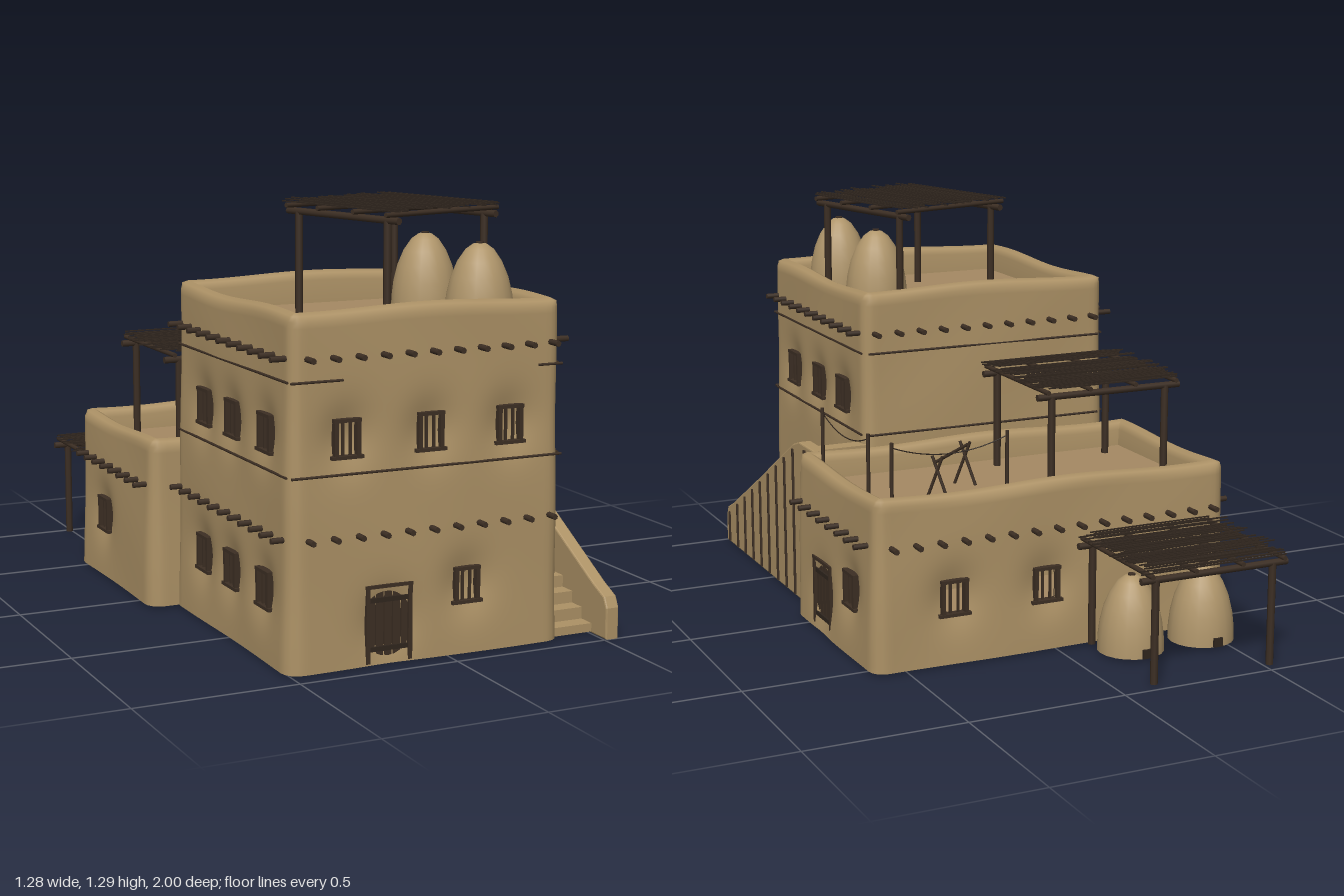
import * as THREE from 'three';

const mat = (name, color) => Object.assign(new THREE.MeshStandardMaterial({ color }), { name });
const adobe = mat('adobe', 0xad9266);
const earth = mat('roofEarth', 0xa68a64);
earth.side = THREE.DoubleSide;
const clay = mat('ovenClay', 0xb0966b);
const wood = mat('darkWood', 0x3d2f24);
const twig = mat('twig', 0x30261e);

// Each wall's outward direction; position is measured along the other axis
const SIDES = { front: [0, 1, 0], right: [1, 0, Math.PI / 2], back: [0, -1, Math.PI], left: [-1, 0, -Math.PI / 2] };

function add(parent, name, geo, material, x = 0, y = 0, z = 0) {
  const m = new THREE.Mesh(geo, material);
  m.name = name;
  m.position.set(x, y, z);
  parent.add(m);
  return m;
}
const box = (p, name, w, h, d, m, x, y, z) => add(p, name, new THREE.BoxGeometry(w, h, d), m, x, y, z);

// Round pole between two points
function rod(parent, name, a, b, r, material = wood) {
  const A = new THREE.Vector3(...a), B = new THREE.Vector3(...b), d = B.clone().sub(A);
  const m = add(parent, name, new THREE.CylinderGeometry(r, r, d.length(), 7), material);
  m.position.copy(A).add(B).multiplyScalar(0.5);
  m.quaternion.setFromUnitVectors(new THREE.Vector3(0, 1, 0), d.normalize());
}

let seed = 7;
const rand = () => (seed = (seed * 16807) % 2147483647) / 2147483647;
const clamp = (v, m) => Math.max(-m, Math.min(m, v));

// Point on a block's wall: u along the wall (world x or z), out = distance from the wall
function onWall(b, side, u, y, out) {
  const [nx, nz] = SIDES[side];
  return nx ? [b.cx + nx * (b.hx + out), y, u] : [u, y, b.cz + nz * (b.hz + out)];
}
const taper = (b, y) => 0.014 * (1 - y / b.top);

// Hand-plastered block: rounded plan, wavy parapet, hollows round the openings
function shell(parent, b) {
  const plan = [], r = 0.035;
  const corners = [[1, 1], [-1, 1], [-1, -1], [1, -1]];
  corners.forEach(([sx, sz], k) => {
    const ox = sx * (b.hx - r), oz = sz * (b.hz - r);
    for (let i = 0; i <= 4; i++) {
      const t = (k + i / 4) * Math.PI / 2, nx = Math.cos(t), nz = Math.sin(t);
      plan.push([ox + nx * r, oz + nz * r, nx, nz]);
    }
    const [ex, ez] = corners[(k + 1) % 4], t = (k + 1) * Math.PI / 2;
    const nx = Math.round(Math.cos(t)), nz = Math.round(Math.sin(t));
    const [x0, z0] = plan[plan.length - 1];
    const x1 = ex * (b.hx - r) + nx * r, z1 = ez * (b.hz - r) + nz * r;
    const n = Math.round(Math.hypot(x1 - x0, z1 - z0) / 0.018);
    for (let i = 1; i < n; i++) plan.push([x0 + (x1 - x0) * i / n, z0 + (z1 - z0) * i / n, nx, nz]);
  });
  const rows = [], n = Math.round((b.top - 0.03) / 0.018);
  for (let i = 0; i <= n; i++) rows.push([0, 0.01 + (b.top - 0.035) * i / n]);
  rows.push([0.008, b.top - 0.008], [0.025, b.top], [0.042, b.top - 0.008], [0.052, b.top - 0.028], [0.055, b.floor - 0.01]);

  const holes = b.openings.map(o => ({ o, c: onWall(b, o[0], o[1], o[2], 0), n: SIDES[o[0]] }));
  const pos = [], idx = [], C = plan.length;
  for (const [inset, y] of rows) for (const [px, pz, nx, nz] of plan) {
    const x = b.cx + clamp(px, b.hx - inset), z = b.cz + clamp(pz, b.hz - inset);
    let out = taper(b, y) + 0.003 * Math.sin(9 * x + 7 * y) * Math.sin(8 * z + 5 * y);
    for (const { c, n: s } of holes) if (nx * s[0] + nz * s[1] > 0.9) {
      const du = Math.hypot(x - c[0], z - c[2]), dy = y - c[1];
      out -= 0.026 * Math.exp(-(du * du) / 0.006 - (dy * dy) / 0.008);
    }
    if (inset) out = 0;
    const wave = (0.006 * Math.sin(8 * x + 2) + 0.006 * Math.sin(9 * z + 1)) * (y / b.top) ** 3;
    pos.push(x + nx * out, y + wave, z + nz * out);
  }
  const open = (x, y, z) => holes.some(({ o, c }) => o[5] === 'hole' &&
    Math.hypot(x - c[0], z - c[2]) < o[3] / 2 && Math.abs(y - c[1]) < o[4] / 2);
  for (let i = 0; i < rows.length - 1; i++) for (let j = 0; j < C; j++) {
    const a = i * C + j, q = i * C + (j + 1) % C, mid = k => (pos[3 * a + k] + pos[3 * (q + C) + k]) / 2;
    if (!open(mid(0), mid(1), mid(2))) idx.push(a, a + C, q, q, a + C, q + C);
  }
  const geo = new THREE.BufferGeometry();
  geo.setAttribute('position', new THREE.Float32BufferAttribute(pos, 3));
  geo.setIndex(idx);
  geo.computeVertexNormals();
  add(parent, 'plasterWalls', geo, adobe);
  const slab = new THREE.PlaneGeometry(2 * b.hx - 0.1, 2 * b.hz - 0.1).rotateX(-Math.PI / 2);
  add(parent, 'roofFloor', slab, earth, b.cx, b.floor, b.cz);
  const under = new THREE.PlaneGeometry(2 * b.hx, 2 * b.hz).rotateX(-Math.PI / 2);
  add(parent, 'underside', under, earth, b.cx, 0.02, b.cz);

  // Window frames and plank doors
  for (const [side, u, y, w, h, kind] of b.openings) {
    const g = new THREE.Group();
    g.name = kind === 'door' ? 'plankDoor' : 'windowFrame';
    g.position.set(...onWall(b, side, u, y, taper(b, y) - 0.012));
    g.rotation.y = SIDES[side][2];
    parent.add(g);
    for (const s of [-1, 1]) box(g, 'jamb', 0.012, h, 0.024, wood, s * w / 2, 0, 0);
    box(g, 'lintel', w + 0.015, 0.01, 0.026, wood, 0, h / 2, 0);
    if (kind === 'door') {
      for (let i = 0; i < 5; i++) box(g, 'plank', w / 5 - 0.004, h, 0.012, wood, (i - 2) * w / 5, 0, -0.004);
      box(g, 'doorBacking', w, h, 0.006, twig, 0, 0, -0.009);
      for (const s of [-1, 1]) box(g, 'doorBrace', w, 0.014, 0.008, twig, 0, s * h * 0.32, 0.004);
    } else {
      box(g, 'sill', w + 0.03, 0.01, 0.028, wood, 0, -h / 2, 0);
      for (const s of [-0.17, 0.17]) box(g, 'bar', 0.007, h, 0.008, wood, s * w, 0, 0);
    }
  }
}

// Row of projecting roof beams
function beams(parent, b, side, y, from, to, count) {
  for (let i = 0; i < count; i++) {
    const u = from + (to - from) * i / (count - 1);
    rod(parent, 'roofBeam', onWall(b, side, u, y, -0.02), onWall(b, side, u, y, 0.046), 0.009);
  }
}

// Brush shelter: posts, two beams, four cross poles and a layer of sticks
function shelter(parent, x, z, base, top, turn) {
  const g = new THREE.Group();
  g.name = 'brushShelter';
  g.position.set(x, 0, z);
  g.rotation.y = turn;
  parent.add(g);
  for (const s of [-1, 1]) {
    for (const t of [-1, 1]) rod(g, 'post', [t * 0.2, base, s * 0.195], [t * 0.2, top - 0.04, s * 0.195], 0.012);
    rod(g, 'beam', [-0.25, top - 0.04, s * 0.195], [0.25, top - 0.04, s * 0.195], 0.011);
  }
  for (const t of [-0.225, -0.08, 0.08, 0.225]) rod(g, 'crossPole', [t, top - 0.022, -0.225], [t, top - 0.022, 0.225], 0.008);
  for (let i = 0; i < 60; i++) {
    const m = box(g, 'stick', 0.4 + rand() * 0.11, 0.004, 0.004, twig,
      (rand() - 0.5) * 0.05, top - 0.012 + rand() * 0.01, -0.22 + 0.44 * i / 59);
    m.rotation.y = (rand() - 0.5) * 0.03;
  }
}

// Beehive oven with a small mouth and a vent
function oven(parent, x, y, z) {
  const profile = [[0.104, 0], [0.103, 0.04], [0.097, 0.09], [0.085, 0.14], [0.066, 0.185], [0.042, 0.22], [0.02, 0.236], [0, 0.24]];
  add(parent, 'oven', new THREE.LatheGeometry(profile.map(p => new THREE.Vector2(...p)), 20), clay, x, y, z);
  box(parent, 'ovenMouth', 0.03, 0.028, 0.012, twig, x, y + 0.016, z - 0.104);
  add(parent, 'ovenVent', new THREE.CylinderGeometry(0.012, 0.012, 0.005, 8), wood, x, y + 0.24, z);
}

export function createModel() {
  const root = new THREE.Group();
  root.name = 'adobeHouse';
  const group = name => { const g = new THREE.Group(); g.name = name; root.add(g); return g; };

  // Two-storey tower
  const tower = { cx: -0.067, cz: 0.515, hx: 0.432, hz: 0.422, top: 1.04, floor: 0.95, openings: [
    ['front', -0.195, 0.128, 0.135, 0.225, 'door'], ['front', 0.06, 0.213, 0.07, 0.1, 'window']] };
  for (const x of [-0.325, -0.06, 0.2]) tower.openings.push(['front', x, 0.675, 0.07, 0.105, 'window']);
  for (const z of [0.755, 0.515, 0.3]) {
    for (const s of ['left', 'right']) tower.openings.push([s, z, 0.675, 0.075, 0.105, 'hole']);
    tower.openings.push(['left', z, 0.22, 0.075, 0.105, 'hole']);
  }
  const t = group('tower');
  shell(t, tower);
  for (const s of ['front', 'back']) beams(t, tower, s, 0.908, -0.45, 0.33, 11);
  for (const s of ['left', 'right']) beams(t, tower, s, 0.908, 0.13, 0.9, 11);
  beams(t, tower, 'front', 0.395, -0.45, 0.33, 11);
  beams(t, tower, 'left', 0.395, 0.13, 0.9, 11);

  // Thin timber courses let into the plaster
  for (const y of [0.575, 0.843]) {
    const course = (s, a, b) => rod(t, 'timberCourse', onWall(tower, s, a, y, taper(tower, y)), onWall(tower, s, b, y, taper(tower, y)), 0.004);
    for (const s of ['left', 'right']) course(s, 0.11, 0.92);
    course('back', -0.48, 0.35);
    if (y < 0.6) course('front', -0.5, 0.37);
    else { course('front', -0.5, -0.34); course('front', 0.29, 0.37); }
  }

  // Single-storey rear block
  const low = { cx: 0, cz: -0.225, hx: 0.595, hz: 0.325, top: 0.54, floor: 0.46, openings: [
    ['right', -0.12, 0.128, 0.135, 0.225, 'door'], ['right', -0.345, 0.215, 0.075, 0.105, 'hole'],
    ['left', -0.345, 0.215, 0.075, 0.105, 'hole'],
    ['back', 0.34, 0.215, 0.075, 0.105, 'hole'], ['back', 0.03, 0.215, 0.075, 0.105, 'hole']] };
  const l = group('rearBlock');
  shell(l, low);
  for (const s of ['left', 'right']) beams(l, low, s, 0.395, -0.49, 0.055, 8);
  beams(l, low, 'back', 0.395, -0.545, 0.545, 15);

  // Outside stair with a sloping guard wall
  const st = group('staircase'), N = 15;
  for (let i = 0; i < N; i++) {
    const h = 0.545 * (i + 1) / N, d = 0.83 / N, depth = Math.min(h - 0.01, 0.08);
    box(st, 'step', 0.16, depth, d, adobe, 0.435, h - depth / 2, 0.92 - d * (i + 0.5));
  }
  const edge = [[0.085, 0.01], [0.995, 0.01], [0.995, 0.1], [0.98, 0.13], [0.92, 0.158], [0.62, 0.325], [0.28, 0.52], [0.22, 0.54], [0.085, 0.54]];
  const guard = new THREE.ExtrudeGeometry(new THREE.Shape(edge.map(p => new THREE.Vector2(...p))),
    { depth: 0.034, bevelSize: 0.005, bevelThickness: 0.005, bevelSegments: 2 }).rotateY(-Math.PI / 2);
  add(st, 'guardWall', guard, adobe, 0.543, 0, 0);
  for (const z of [0.96, 0.87, 0.785, 0.7, 0.615, 0.53, 0.445, 0.36, 0.275, 0.165, 0.13])
    rod(st, 'guardRib', [0.549, 0.012, z], [0.549, Math.min(0.53, 0.125 + (0.95 - z) * 0.57), z], 0.006);

  // Shelters and ovens
  shelter(root, 0.04, 0.485, 0.95, 1.3, -1.31);
  shelter(root, -0.25, -0.222, 0.46, 0.81, 0);
  shelter(root, -0.315, -0.77, 0.01, 0.37, 0);
  for (const z of [0.78, 0.44]) oven(root, 0.18, 0.95, z);
  for (const x of [-0.45, -0.2]) oven(root, x, 0.012, -0.67);

  // Drying lines on the rear roof
  const lines = group('dryingLines');
  for (const [a, b] of [[[0.53, 0.045], [0.53, -0.34]], [[0.51, -0.475], [0.13, -0.475]]]) {
    for (const [x, z] of [a, b]) rod(lines, 'linePost', [x, 0.46, z], [x, 0.695, z], 0.006);
    const curve = new THREE.QuadraticBezierCurve3(new THREE.Vector3(a[0], 0.68, a[1]),
      new THREE.Vector3((a[0] + b[0]) / 2, 0.605, (a[1] + b[1]) / 2), new THREE.Vector3(b[0], 0.68, b[1]));
    add(lines, 'line', new THREE.TubeGeometry(curve, 14, 0.0018, 5), twig);
  }

  // Drying rack: a pole resting on two pairs of crossed legs
  const rack = group('dryingRack');
  rod(rack, 'rackPole', [0.13, 0.585, -0.185], [0.315, 0.585, -0.35], 0.005);
  for (const [x, z] of [[0.145, -0.2], [0.3, -0.335]]) for (const s of [-1, 1])
    rod(rack, 'rackLeg', [x - s * 0.025, 0.46, z - s * 0.025], [x + s * 0.012, 0.6, z + s * 0.012], 0.005);

  return root;
}
